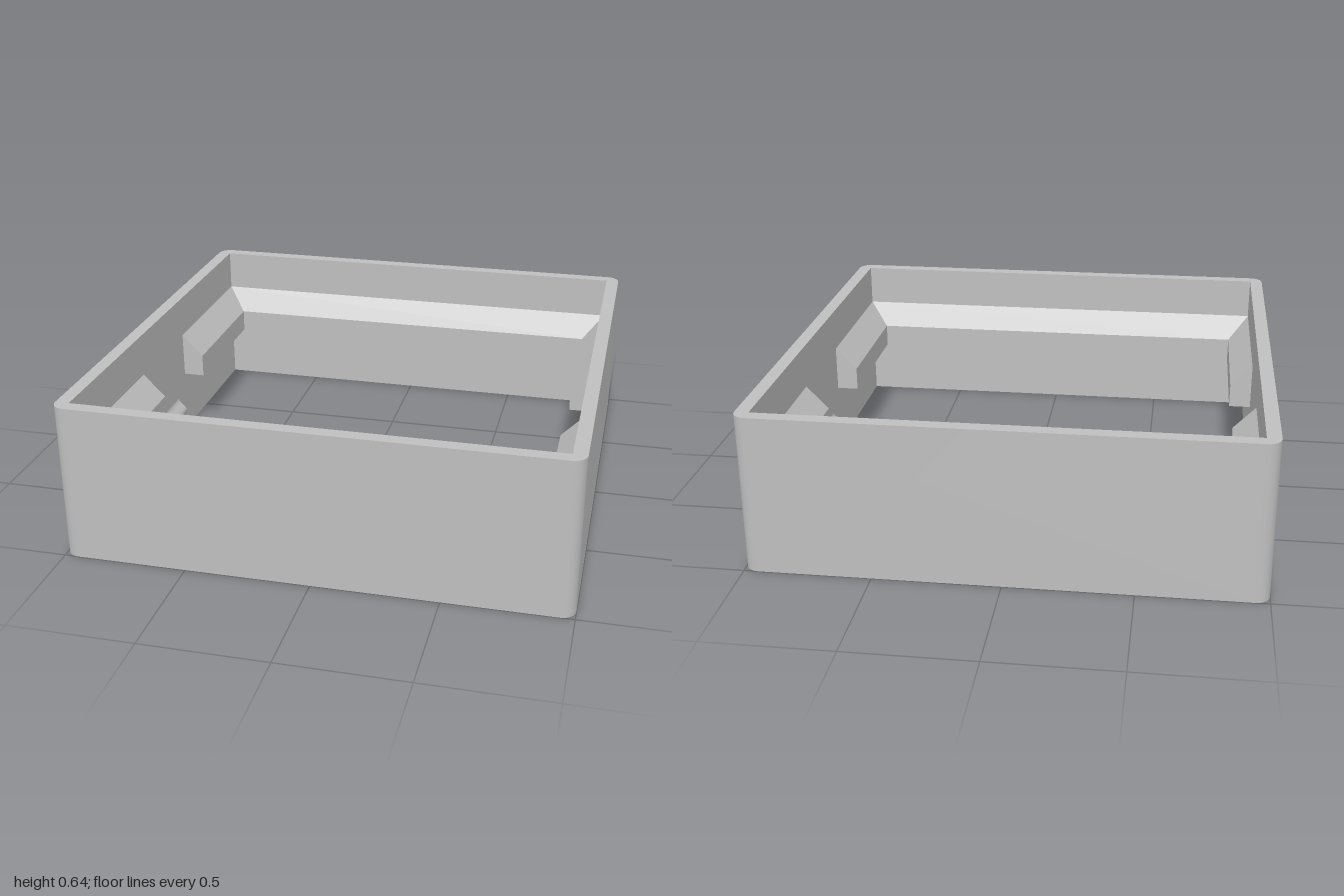
import * as THREE from 'three';
import { toCreasedNormals } from 'three/addons/utils/BufferGeometryUtils.js';

const HEIGHT = 0.64, WALL = 0.945, RADIUS = 0.055;
const LEDGE_END = 0.237, CLIP_HALF = 0.142;

const grey = new THREE.MeshStandardMaterial({ color: 0xbfbfbf });
grey.name = 'grey plastic';

// Square wall ring: rounded outside corners, sharp inside corners
function wallGeometry() {
  const c = 1 - RADIUS;
  const shape = new THREE.Shape();
  [[c, c], [-c, c], [-c, -c], [c, -c]].forEach(([x, y], i) =>
    shape.absarc(x, y, RADIUS, i * Math.PI / 2, (i + 1) * Math.PI / 2, false));
  shape.closePath();
  shape.holes.push(new THREE.Path([[-WALL, -WALL], [-WALL, WALL], [WALL, WALL], [WALL, -WALL]]
    .map(([x, y]) => new THREE.Vector2(x, y))));
  const geo = new THREE.ExtrudeGeometry(shape, { depth: HEIGHT, bevelEnabled: false, curveSegments: 8 });
  geo.rotateX(-Math.PI / 2);
  return toCreasedNormals(geo, 0.6);
}

// U-shaped ledge with a sloped top, mitred at the two corners
function ledgeGeometry() {
  const profile = [[0, 0.463], [0.092, 0.368], [0.092, 0.27], [0, 0.27]]; // inset, height
  const positions = [], index = [];
  for (const [inset, y] of profile) {
    const h = WALL - inset;
    positions.push(-h, y, -LEDGE_END, -h, y, -h, h, y, -h, h, y, -LEDGE_END);
  }
  for (let k = 0; k < 3; k++) {
    for (let i = 0; i < 3; i++) {
      const a = k * 4 + i, b = a + 1, c = a + 5, d = a + 4;
      index.push(a, d, c, a, c, b);
    }
  }
  index.push(0, 8, 4, 0, 12, 8, 3, 7, 11, 3, 11, 15); // end caps
  const geo = new THREE.BufferGeometry();
  geo.setAttribute('position', new THREE.Float32BufferAttribute(positions, 3));
  geo.setIndex(index);
  const flat = geo.toNonIndexed();
  flat.computeVertexNormals();
  return flat;
}

// Small snap ridge: rounded tip blending into the wall
function clipGeometry() {
  const shape = new THREE.Shape();
  const mid = 0.127, half = 0.057, steps = 14;
  shape.moveTo(-0.01, mid - half);
  for (let i = 0; i <= steps; i++) {
    const t = i / steps * 2 - 1;
    shape.lineTo(0.019 * (1 + Math.cos(Math.PI * t)), mid + half * t);
  }
  shape.lineTo(-0.01, mid + half);
  const geo = new THREE.ExtrudeGeometry(shape, { depth: CLIP_HALF * 2, bevelEnabled: false });
  geo.translate(-WALL, 0, -CLIP_HALF);
  return toCreasedNormals(geo, 0.7);
}

export function createModel() {
  const group = new THREE.Group();
  group.name = 'frame';
  const add = (name, geometry, turn = 0) => {
    const mesh = new THREE.Mesh(geometry, grey);
    mesh.name = name;
    mesh.rotation.y = turn;
    group.add(mesh);
  };
  add('outerWall', wallGeometry());
  const ledge = ledgeGeometry(), clip = clipGeometry();
  add('backLedge', ledge);
  add('frontLedge', ledge, Math.PI);
  add('rightClip', clip);
  add('leftClip', clip, Math.PI);
  return group;
}
